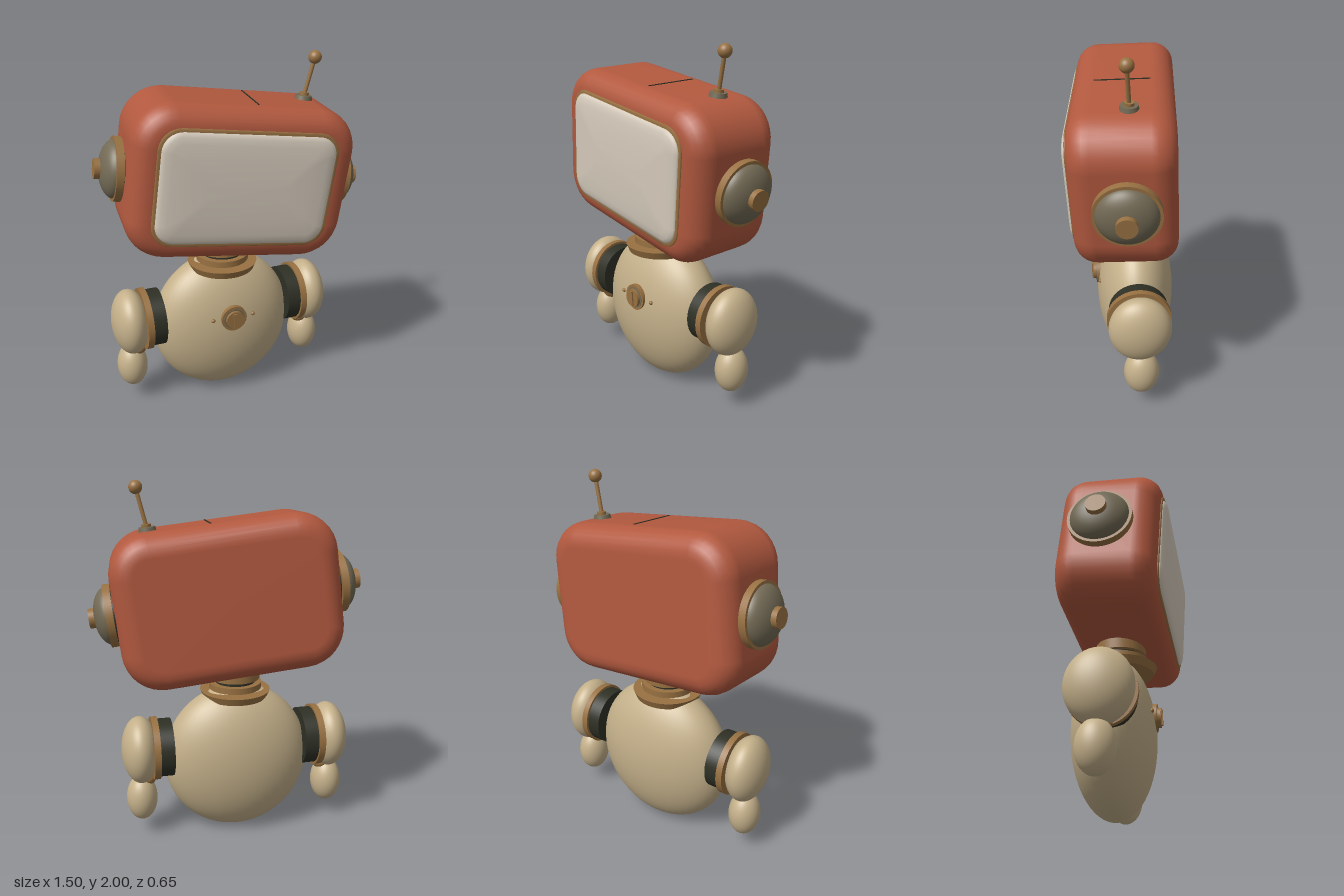
import * as THREE from 'three';

const mat = (name, color) => {
  const m = new THREE.MeshStandardMaterial({ color });
  m.name = name;
  return m;
};

// Rounded rectangle, counter-clockwise seen from +z
function roundedLoop(w, h, r, n = 8) {
  const pts = [];
  [[1, 1], [-1, 1], [-1, -1], [1, -1]].forEach(([sx, sy], q) => {
    for (let i = 0; i <= n; i++) {
      const a = (q + i / n) * Math.PI / 2;
      pts.push([sx * (w - r) + r * Math.cos(a), sy * (h - r) + r * Math.sin(a)]);
    }
  });
  return pts;
}

// Capped loft of rounded rectangles; sections are [inset, z] from back to front
function loft(w, h, r, sections) {
  const pos = [], idx = [];
  let n = 0;
  for (const [inset, z] of sections) {
    const loop = roundedLoop(w - inset, h - inset, Math.max(r - inset, 0.02));
    n = loop.length;
    loop.forEach(([x, y]) => pos.push(x, y, z));
  }
  const last = sections.length - 1, back = n * sections.length;
  pos.push(0, 0, sections[0][1], 0, 0, sections[last][1]);
  for (let k = 0; k < n; k++) {
    const k1 = (k + 1) % n;
    for (let s = 0; s < last; s++) {
      const a = s * n + k, b = s * n + k1;
      idx.push(a, b, b + n, a, b + n, a + n);
    }
    idx.push(back, k1, k, back + 1, last * n + k, last * n + k1);
  }
  const g = new THREE.BufferGeometry();
  g.setAttribute('position', new THREE.Float32BufferAttribute(pos, 3));
  g.setIndex(idx);
  g.computeVertexNormals();
  return g;
}

export function createModel() {
  const root = new THREE.Group();
  root.name = 'robot';
  const cream = mat('cream shell', 0xc4b08a);
  const red = mat('red casing', 0xb2593f);
  const brass = mat('brass', 0x987142);
  const olive = mat('olive metal', 0x736a55);
  const dark = mat('dark rubber', 0x2e3025);
  const white = mat('screen white', 0xd8cdbe);

  const add = (parent, name, geo, material, x = 0, y = 0, z = 0) => {
    const m = new THREE.Mesh(geo, material);
    m.name = name;
    m.position.set(x, y, z);
    parent.add(m);
    return m;
  };
  const egg = (rx, ry, rz) => new THREE.SphereGeometry(1, 48, 32).scale(rx, ry, rz);
  const disc = (r, len, r2 = r) => new THREE.CylinderGeometry(r, r2, len, 48);
  const discX = (r, len) => disc(r, len).rotateZ(Math.PI / 2);
  const discZ = (r, len) => disc(r, len).rotateX(Math.PI / 2);

  // Body
  const cx = -0.053, bz = -0.065;
  add(root, 'body', egg(0.42, 0.435, 0.225), cream, cx, 0.435, bz);

  // Chest dial
  add(root, 'dialRim', discZ(0.076, 0.04), brass, cx, 0.54, 0.145);
  add(root, 'dialGroove', discZ(0.062, 0.004), olive, cx, 0.54, 0.166);
  add(root, 'dialKnob', discZ(0.053, 0.04), brass, cx, 0.54, 0.165);
  const slot = add(root, 'dialBar', new THREE.BoxGeometry(0.024, 0.085, 0.008), brass, cx, 0.54, 0.189);
  slot.rotation.z = 0.1;
  for (const s of [-1, 1]) add(root, 'chestStud', egg(0.012, 0.012, 0.012), brass, cx + s * 0.122, 0.54, 0.144);

  // Neck rings
  const nz = -0.035;
  add(root, 'neckCollar', disc(0.2, 0.042, 0.183), brass, cx, 0.816, nz);
  add(root, 'neckCore', disc(0.115, 0.15), dark, cx, 0.9, nz);
  add(root, 'neckRingLower', disc(0.15, 0.035), brass, cx, 0.865, nz);
  add(root, 'neckRingUpper', disc(0.14, 0.06), brass, cx, 0.935, nz);

  // Arms
  for (const s of [-1, 1]) {
    const arm = new THREE.Group();
    arm.name = s > 0 ? 'leftArm' : 'rightArm';
    arm.position.set(cx, 0, bz);
    root.add(arm);
    add(arm, 'shoulderJoint', discX(0.165, 0.085), dark, s * 0.42, 0.52, 0);
    add(arm, 'shoulderRing', discX(0.179, 0.036), brass, s * 0.474, 0.52, 0);
    add(arm, 'upperArm', egg(0.106, 0.193, 0.172), cream, s * 0.557, 0.517, 0);
    add(arm, 'elbow', egg(0.05, 0.045, 0.06), brass, s * 0.52, 0.345, 0);
    add(arm, 'forearm', egg(0.088, 0.135, 0.098), cream, s * 0.557, 0.225, -0.01);
  }

  // Head, slightly tilted and turned
  const head = new THREE.Group();
  head.name = 'head';
  head.position.set(-0.003, 1.363, -0.01);
  head.rotation.set(0.047, -0.072, -0.117);
  root.add(head);

  const bevel = 0.11, depth = 0.12, half = 0.267, steps = 6, casing = [];
  for (let i = 0; i <= steps; i++) {
    const a = (i / steps) * Math.PI / 2;
    casing.push([bevel * (1 - Math.sin(a)), -half + depth * (1 - Math.cos(a))]);
  }
  casing.unshift([bevel + 0.015, -half]);
  casing.push(...casing.map(([i, z]) => [i, -z]).reverse());
  add(head, 'headCasing', loft(0.61, 0.4225, 0.22, casing), red);

  // Screen and its rim
  add(head, 'screenRim', loft(0.488, 0.32, 0.12, [[0, 0.24], [0, 0.268], [0.004, 0.274], [0.02, 0.274]]), brass);
  add(head, 'screen', loft(0.472, 0.304, 0.108,
    [[0, 0.25], [0, 0.272], [0.008, 0.281], [0.025, 0.289], [0.06, 0.295], [0.14, 0.301], [0.25, 0.304]]), white);

  // Seam on top of the head
  add(head, 'topSeam', new THREE.BoxGeometry(0.008, 0.006, 0.29), dark, 0.045, 0.4225, 0);

  // Ear dials
  for (const s of [-1, 1]) {
    const ear = new THREE.Group();
    ear.name = s > 0 ? 'leftEar' : 'rightEar';
    ear.position.set(0, 0, -0.02);
    head.add(ear);
    add(ear, 'earGasket', discX(0.15, 0.04), dark, s * 0.6);
    add(ear, 'earRing', discX(0.172, 0.04), brass, s * 0.635);
    add(ear, 'earDome', egg(0.085, 0.158, 0.158), olive, s * 0.642);
    add(ear, 'earCap', discX(0.054, 0.06), brass, s * 0.722);
  }

  // Antenna
  const foot = new THREE.Vector3(0.417, 1.745, -0.005), tip = new THREE.Vector3(0.47, 1.963, 0.01);
  const dir = tip.clone().sub(foot);
  const antenna = new THREE.Group();
  antenna.name = 'antenna';
  antenna.position.copy(foot);
  root.add(antenna);
  const base = add(antenna, 'antennaBase', disc(0.044, 0.03, 0.05), olive);
  base.rotation.z = -0.117;
  const collar = add(antenna, 'antennaCollar', disc(0.025, 0.03), brass, 0.004, 0.015, 0);
  collar.rotation.z = -0.117;
  const rod = add(antenna, 'antennaRod', disc(0.011, dir.length()), brass, dir.x / 2, dir.y / 2, dir.z / 2);
  rod.quaternion.setFromUnitVectors(new THREE.Vector3(0, 1, 0), dir.clone().normalize());
  add(antenna, 'antennaBall', egg(0.036, 0.036, 0.036), brass, dir.x, dir.y, dir.z);

  return root;
}
